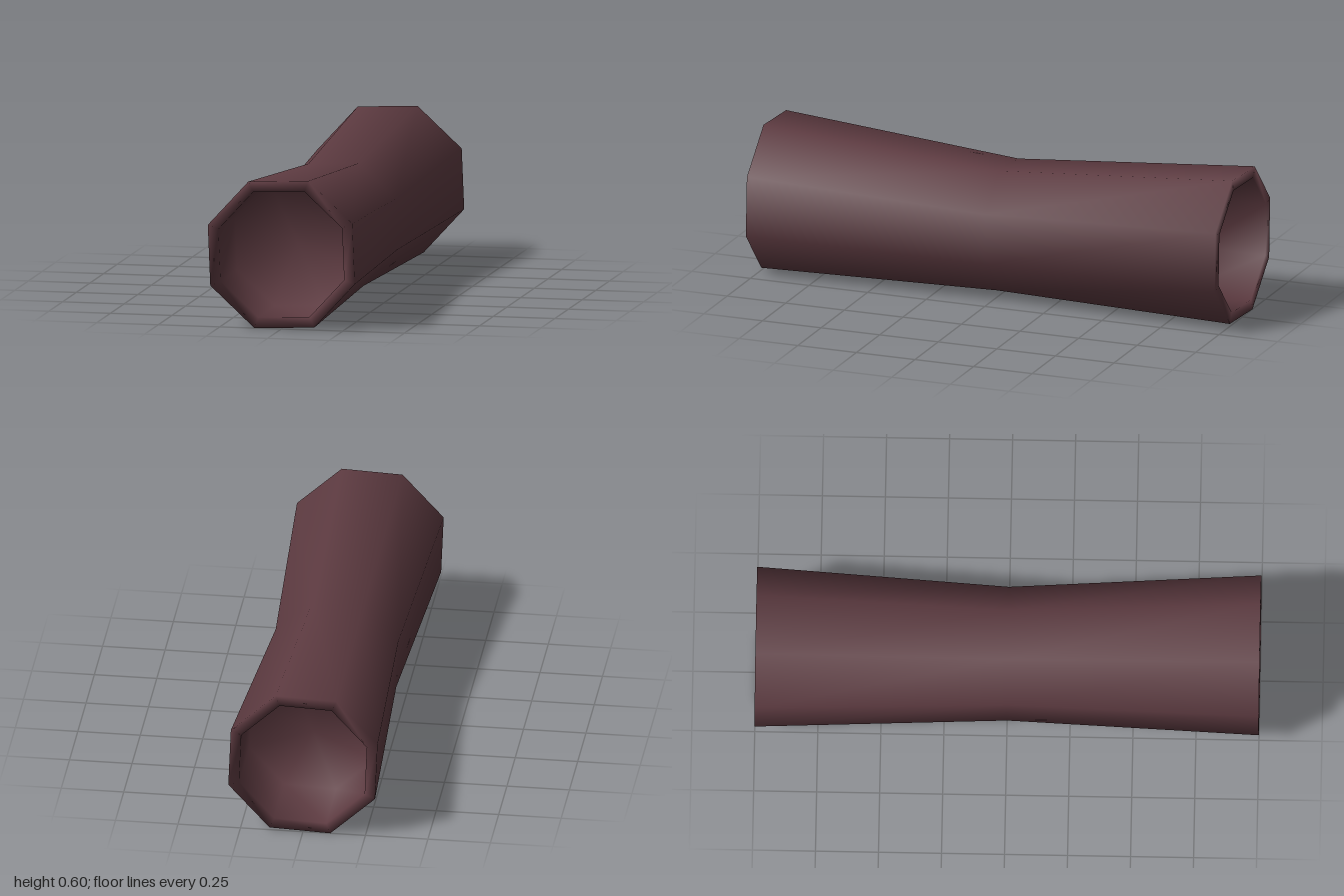
import * as THREE from 'three';

const SIDES = 8;
const PHASE = THREE.MathUtils.degToRad(24.9);

// Cross-sections from the back recess, over the outside, to the front recess: [radius, centre height, z]
const RINGS = [
  [0, 0.3, -0.7],
  [0.271, 0.3, -0.7],
  [0.272, 0.3, -1],
  [0.318, 0.3, -1],
  [0.266, 0.269, 0],
  [0.318, 0.3, 1],
  [0.272, 0.3, 1],
  [0.271, 0.3, 0.7],
  [0, 0.3, 0.7],
];

// Joins the octagonal rings into one smooth closed skin
function octagonSkin(rings) {
  const positions = [];
  const index = [];
  rings.forEach(([radius, y, z], i) => {
    for (let j = 0; j < SIDES; j++) {
      const angle = PHASE + (j / SIDES) * Math.PI * 2;
      positions.push(radius * Math.cos(angle), y + radius * Math.sin(angle), z);
      if (i === rings.length - 1) continue;
      const a = i * SIDES + j;
      const b = i * SIDES + ((j + 1) % SIDES);
      const c = b + SIDES;
      const d = a + SIDES;
      if (radius > 0) index.push(a, b, d);
      if (rings[i + 1][0] > 0) index.push(b, c, d);
    }
  });
  const geometry = new THREE.BufferGeometry();
  geometry.setAttribute('position', new THREE.Float32BufferAttribute(positions, 3));
  geometry.setIndex(index);
  geometry.computeVertexNormals();
  return geometry;
}

export function createModel() {
  const model = new THREE.Group();
  model.name = 'waistedTube';

  const darkMaroon = new THREE.MeshStandardMaterial({ color: 0x5c3a40 });
  darkMaroon.name = 'darkMaroon';

  // Tube with a narrow waist and a recess in each end
  const tube = new THREE.Mesh(octagonSkin(RINGS), darkMaroon);
  tube.name = 'tube';
  model.add(tube);
  return model;
}
